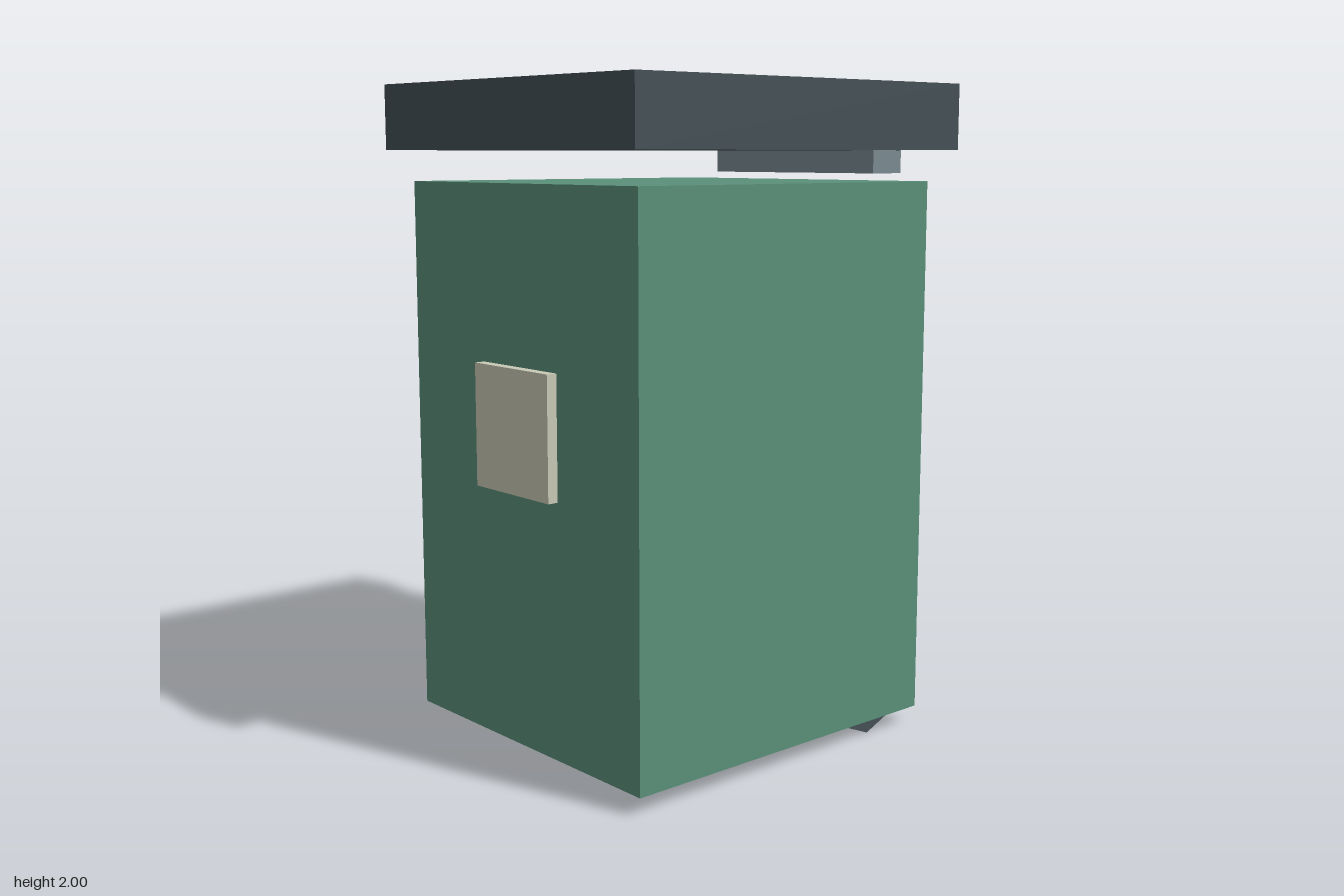
import * as THREE from 'three';

const material = (name, color) => {
  const m = new THREE.MeshStandardMaterial({ color });
  m.name = name;
  return m;
};

export function createModel() {
  const bin = new THREE.Group();
  bin.name = 'wheeledBin';

  const green = material('green', 0x5b9079);
  const slate = material('slate', 0x455055);
  const grey = material('grey', 0x7b8a91);
  const cream = material('cream', 0xc9c9b6);

  // Box given by its lower and upper limits on each axis
  const addBox = (name, mat, [x0, x1], [y0, y1], [z0, z1]) => {
    const mesh = new THREE.Mesh(new THREE.BoxGeometry(x1 - x0, y1 - y0, z1 - z0), mat);
    mesh.position.set((x0 + x1) / 2, (y0 + y1) / 2, (z0 + z1) / 2);
    mesh.name = name;
    bin.add(mesh);
  };

  addBox('body', green, [-0.532, 0.532], [0.053, 1.71], [-0.562, 0.583]);
  addBox('lid', slate, [-0.592, 0.592], [1.803, 2], [-0.628, 0.643]);
  addBox('rearHandle', grey, [-0.354, 0.354], [1.732, 1.838], [-0.643, -0.515]);
  addBox('frontPlate', cream, [-0.175, 0.175], [0.82, 1.188], [0.583, 0.616]);

  // Eight-sided wheels, one corner down, tucked into the base
  const radius = 0.18;
  const wheelGeometry = new THREE.CylinderGeometry(radius, radius, 0.126, 8).toNonIndexed();
  wheelGeometry.rotateZ(Math.PI / 2);
  wheelGeometry.computeVertexNormals();
  for (const side of [-1, 1]) {
    const wheel = new THREE.Mesh(wheelGeometry, slate);
    wheel.position.set(side * 0.437, radius, -0.372);
    wheel.name = side > 0 ? 'leftWheel' : 'rightWheel';
    bin.add(wheel);
  }

  return bin;
}
